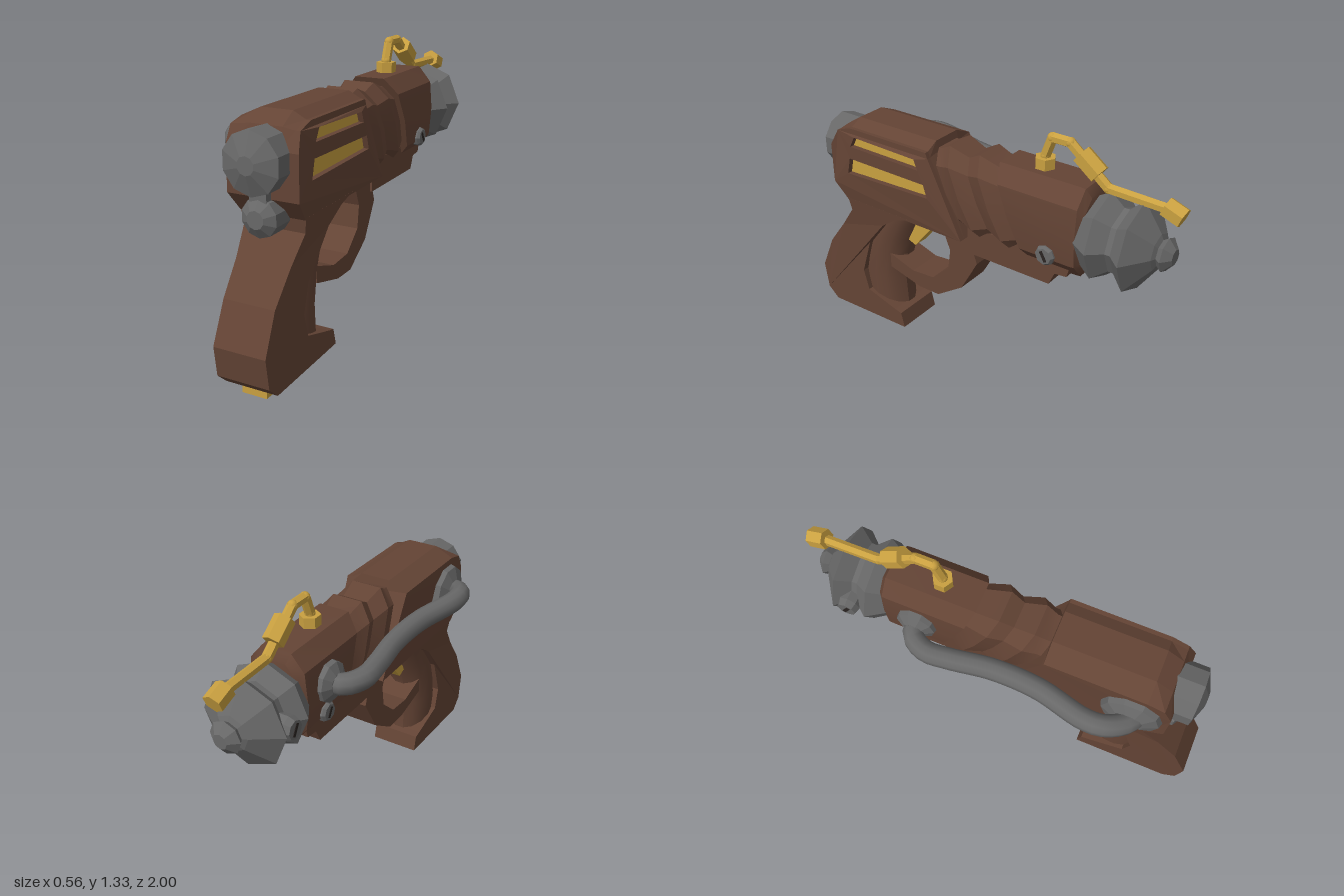
import * as THREE from 'three';
import { toCreasedNormals } from 'three/addons/utils/BufferGeometryUtils.js';

const CX = 0.07; // centre plane of the blaster

export function createModel() {
  const mat = (name, color) => {
    const m = new THREE.MeshStandardMaterial({ color });
    m.name = name;
    return m;
  };
  const brown = mat('brown shell', 0x644435);
  const grey = mat('grey metal', 0x686868);
  const gold = mat('gold trim', 0xc9a040);
  const dark = mat('dark recess', 0x2a2422);

  const group = new THREE.Group();
  group.name = 'blaster';
  const add = (name, geo, material, x = 0, y = 0, z = 0) => {
    const m = new THREE.Mesh(geo, material);
    m.name = name;
    m.position.set(x, y, z);
    group.add(m);
    return m;
  };
  const toShape = pts => new THREE.Shape(pts.map(p => new THREE.Vector2(...p)));
  const flat = g => {
    const f = g.index ? g.toNonIndexed() : g;
    f.computeVertexNormals();
    return f;
  };

  // Side outline (z, y) extruded across x; rule(layer, y) gives [x, y] for each layer
  function sideExtrude(shape, layers, rule) {
    const g = new THREE.ExtrudeGeometry(shape, { depth: layers, steps: layers, bevelEnabled: false });
    g.rotateY(-Math.PI / 2);
    const p = g.attributes.position;
    for (let i = 0; i < p.count; i++) {
      const [x, y] = rule(layers + Math.round(p.getX(i)), p.getY(i));
      p.setXYZ(i, x, y, p.getZ(i));
    }
    return flat(g);
  }
  const slab = (pts, w) => sideExtrude(toShape(pts), 1, (l, y) => [l ? w : -w, y]);

  // Skin over closed rings of equal length, with both ends capped
  function loft(rings) {
    const n = rings[0].length, pos = [], idx = [];
    rings.forEach(r => r.forEach(v => pos.push(...v)));
    for (let i = 0; i < rings.length - 1; i++)
      for (let j = 0; j < n; j++) {
        const a = i * n + j, b = i * n + (j + 1) % n;
        idx.push(a, a + n, b, b, a + n, b + n);
      }
    const e = (rings.length - 1) * n;
    for (let j = 1; j < n - 1; j++) idx.push(0, j, j + 1, e, e + j + 1, e + j);
    const g = new THREE.BufferGeometry();
    g.setAttribute('position', new THREE.Float32BufferAttribute(pos, 3));
    g.setIndex(idx);
    g.computeVertexNormals();
    return toCreasedNormals(g, 0.55);
  }

  // Turned part; dir is the direction its axis points
  function turned(name, pts, sides, material, at, dir) {
    const g = flat(new THREE.LatheGeometry(pts.map(p => new THREE.Vector2(...p)), sides));
    const m = add(name, g, material, ...at);
    m.quaternion.setFromUnitVectors(new THREE.Vector3(0, 1, 0), new THREE.Vector3(...dir));
    return m;
  }
  // Straight hexagonal rod between two (z, y) points on the centre plane
  function rod(name, a, b, r) {
    const A = new THREE.Vector3(CX, a[1], a[0]), d = new THREE.Vector3(CX, b[1], b[0]).sub(A);
    const len = d.length();
    turned(name, [[0, 0], [r, 0], [r, len], [0, len]], 6, gold, A.toArray(), d.normalize().toArray());
  }

  // Receiver: chamfered along the top, with a slotted plate on the left side
  const bodyPts = [[0.73, 0.74], [0.8, 0.83], [0.8, 1.03], [0.76, 1.12], [0.68, 1.17],
    [0.21, 1.17], [0.2, 1.12], [0.02, 0.74]];
  const lower = (y, k) => (y > 1.1 ? y - (y - 1.1) * k : y);
  const bodyX = [-0.17, -0.075, 0.075, 0.135], drop = [0.62, 0, 0, 0.45];
  add('receiver', sideExtrude(toShape(bodyPts), 3, (l, y) =>
    [bodyX[l] * (y < 0.8 && l % 3 === 0 ? 0.93 : 1), lower(y, drop[l])]), brown, CX);
  const slots = [
    [[0.67, 1.05], [0.25, 1.045], [0.27, 1.095], [0.64, 1.105]],
    [[0.7, 0.9], [0.2, 0.915], [0.22, 0.98], [0.68, 0.985]],
  ];
  const plate = toShape(bodyPts.map(([z, y]) => [z, lower(y, 0.45)]));
  plate.holes = slots.map(s => new THREE.Path(s.map(p => new THREE.Vector2(...p))));
  add('slottedSidePlate', sideExtrude(plate, 1, (l, y) =>
    [l === 0 ? 0.12 : y > 1.107 || y < 0.8 ? 0.155 : 0.17, y]), brown, CX);
  slots.forEach(s => add('slotInlay', slab(s, 0.004), gold, CX + 0.14));

  // Grip: full-width frame around a rounded, recessed front
  const gripPts = [[0.73, 0.75], [0.72, 0.68], [0.81, 0.56], [0.92, 0.42], [1.0, 0.24], [0.98, 0.1],
    [0.92, 0.045], [0.43, 0.055], [0.45, 0.135], [0.49, 0.145], [0.67, 0.2], [0.7, 0.31],
    [0.64, 0.5], [0.52, 0.65], [0.42, 0.72], [0.33, 0.75]];
  const gripW = y => (y > 0.5 ? 0.122 + (y - 0.5) * 0.14 : 0.127 - y * 0.01);
  add('grip', sideExtrude(toShape(gripPts), 1, (l, y) => [(l ? 1 : -1) * gripW(y), y]), brown, CX);
  const gripFront = [[0.76, 0.32], [0.65, 0.38], [0.55, 0.43], [0.45, 0.465], [0.3, 0.487], [0.1, 0.475]];
  add('gripFront', loft(gripFront.map(([y, zf]) => Array.from({ length: 14 }, (_, i) => {
    const t = i / 14 * Math.PI * 2;
    return [0.108 * Math.cos(t), y, zf + 0.14 - 0.14 * Math.sin(t)];
  }))), brown, CX);
  add('gripBasePlate', slab([[0.9, 0], [0.9, 0.06], [0.53, 0.07], [0.53, 0.015]], 0.06), gold, CX);

  // Trigger and guard
  add('triggerGuard', slab([[0.03, 0.76], [-0.025, 0.6], [0.07, 0.43], [0.22, 0.33], [0.34, 0.33],
    [0.53, 0.38], [0.53, 0.46], [0.38, 0.41], [0.25, 0.42], [0.15, 0.51], [0.135, 0.62],
    [0.185, 0.745], [0.2, 0.76]], 0.09), brown, CX);
  add('trigger', slab([[0.38, 0.75], [0.22, 0.75], [0.4, 0.53], [0.45, 0.55], [0.44, 0.6]], 0.04), gold, CX);

  // Barrel: slanted ridges, then a plain sleeve
  const half = [[0.15, 0], [0.138, 0.14], [0.075, 0.215]];
  const section = [...half, ...half.slice(1).reverse().map(([x, y]) => [-x, y]),
    ...half.map(([x, y]) => [-x, -y]), ...half.slice(1).reverse().map(([x, y]) => [x, -y])];
  const ring = (z, s, slant) => section.map(([x, y]) =>
    [x * s, 0.95 + y * s, z + (y * s - 0.215) * slant]);
  add('ridgedBarrel', loft([[0.26, 0.86], [0.2, 0.86], [0.13, 1.0], [0.045, 0.84], [-0.035, 1.0],
    [-0.13, 0.82], [-0.2, 0.82]].map(([z, s]) => ring(z, s, 0.45))), brown, CX);
  add('barrelSleeve', loft([ring(-0.145, 1, 0.42), ring(-0.55, 1, 0), ring(-0.575, 0.99, 0),
    ring(-0.6, 0.8, 0)]), brown, CX);
  add('underRail', slab([[0.02, 0.655], [-0.43, 0.655], [-0.46, 0.72], [-0.52, 0.725], [-0.54, 0.8],
    [0.02, 0.8]], 0.1), brown, CX);

  // Muzzle with two flared rims and an end knob
  turned('muzzle', [[0, 0], [0.15, 0], [0.205, 0.085], [0.15, 0.15], [0.15, 0.175], [0.21, 0.24],
    [0.085, 0.325], [0.06, 0.335], [0.078, 0.36], [0.035, 0.395], [0, 0.395]],
  8, grey, [CX, 0.94, -0.57], [0, 0, -1]);

  // Bolts with a slot across the head
  function bolt(name, side, x, y, z, r, depth) {
    turned(name, [[0, 0], [r, 0], [r, depth * 0.7], [r * 0.8, depth], [0, depth]], 8, grey, [x, y, z], [side, 0, 0]);
    const slot = add(name + 'Slot', new THREE.BoxGeometry(0.006, r * 1.1, r * 0.3), dark, x + side * depth, y, z);
    slot.rotation.x = 0.5;
  }
  for (const s of [-1, 1]) bolt('sleeveBolt', s, CX + s * 0.12, 0.83, -0.435, 0.048, 0.042);
  bolt('muzzleBolt', -1, CX - 0.1, 0.94, -0.745, 0.055, 0.105);

  // Rear caps, joined by a short neck
  turned('upperRearCap', [[0, 0], [0.135, 0], [0.135, 0.13], [0.04, 0.165], [0, 0.165]],
    10, grey, [CX, 0.99, 0.75], [0, 0, 1]);
  turned('lowerRearCap', [[0, 0], [0.085, 0], [0.085, 0.13], [0.04, 0.16], [0, 0.16]],
    10, grey, [CX, 0.755, 0.7], [0, 0, 1]);
  add('rearCapNeck', new THREE.BoxGeometry(0.08, 0.12, 0.14), grey, CX, 0.845, 0.765);

  // Side hose and its two collars
  const hose = new THREE.CatmullRomCurve3([[-0.06, 0.97, -0.41], [-0.14, 0.97, -0.4], [-0.19, 0.975, -0.32],
    [-0.185, 0.98, -0.2], [-0.16, 0.99, 0], [-0.17, 1.0, 0.22], [-0.225, 1.01, 0.45], [-0.22, 1.01, 0.54],
    [-0.16, 0.985, 0.63], [-0.08, 0.965, 0.67]].map(p => new THREE.Vector3(...p)));
  add('sideHose', new THREE.TubeGeometry(hose, 36, 0.05, 10), grey);
  const collar = r => [[0, 0], [r, 0], [r * 0.93, 0.035], [r * 0.5, 0.06], [0, 0.06]];
  turned('rearHoseCollar', collar(0.145), 10, grey, [-0.09, 0.96, 0.63], [-1, 0, 0]);
  turned('frontHoseCollar', collar(0.1), 10, grey, [-0.06, 0.97, -0.41], [-1, 0, 0]);

  // Gold pipe above the muzzle, with nuts at its ends and middle
  const pipe = [[-0.33, 1.16], [-0.33, 1.22], [-0.362, 1.31], [-0.45, 1.31], [-0.64, 1.155], [-0.93, 1.145]];
  for (let i = 0; i < pipe.length - 1; i++) {
    rod('sightPipe', pipe[i], pipe[i + 1], 0.024);
    if (i) add('pipeJoint', new THREE.IcosahedronGeometry(0.024, 1), gold, CX, pipe[i][1], pipe[i][0]);
  }
  rod('baseNut', [-0.33, 1.15], [-0.33, 1.215], 0.048);
  rod('middleNut', [-0.505, 1.275], [-0.595, 1.205], 0.048);
  rod('endNut', [-0.9, 1.155], [-0.98, 1.125], 0.046);
  return group;
}
